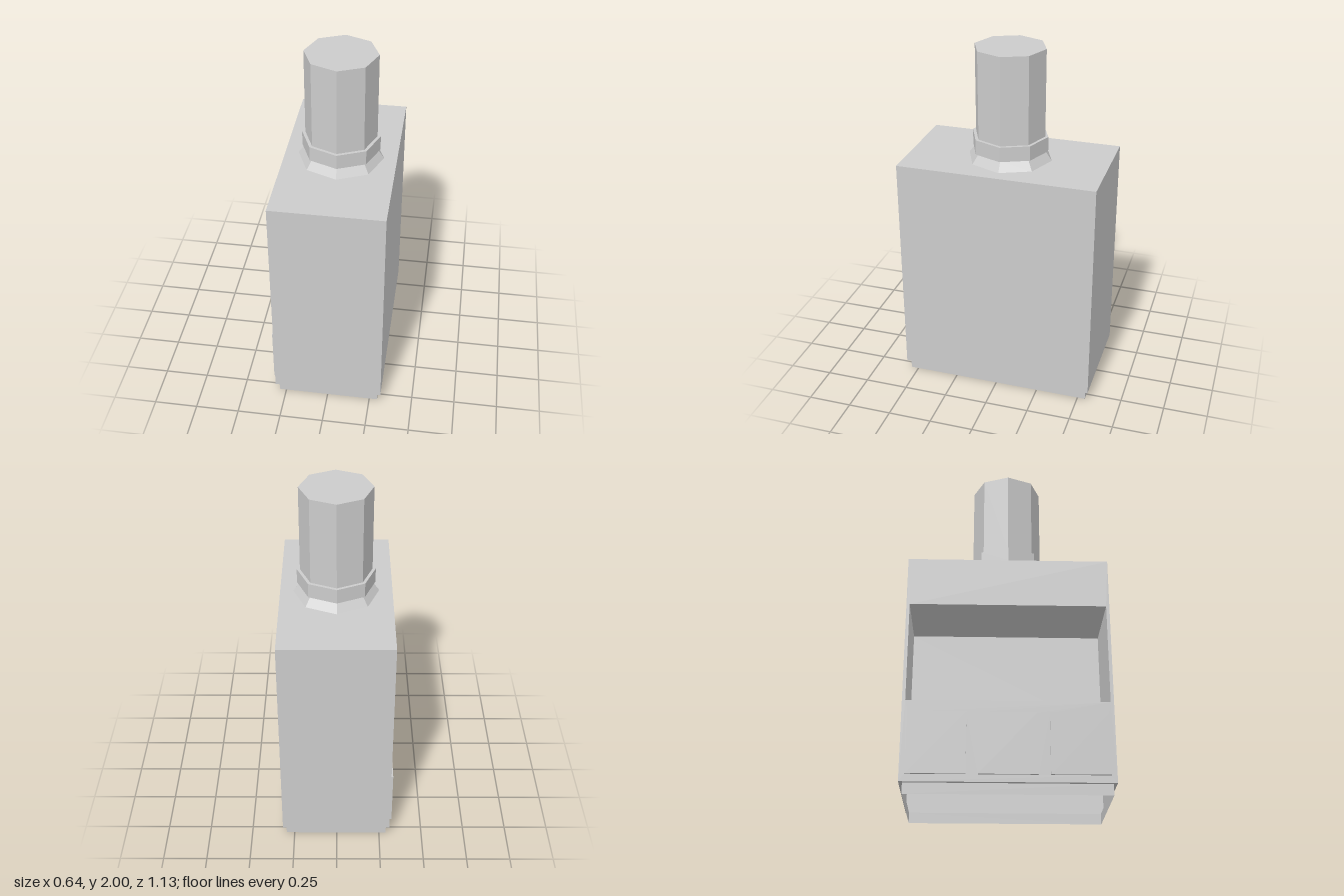
import * as THREE from 'three';

const material = new THREE.MeshStandardMaterial({ color: 0xcccccc, flatShading: true, side: THREE.DoubleSide });
const SIDES = ['+x', '-x', '+y', '-y', '+z', '-z'];

function mesh(name, geometry) {
  const m = new THREE.Mesh(geometry, material);
  m.name = name;
  return m;
}

// Thin-walled box between two corners, with the listed sides left open
function openBox(name, [x0, y0, z0], [x1, y1, z1], open) {
  const geo = new THREE.BoxGeometry(x1 - x0, y1 - y0, z1 - z0);
  const index = Array.from(geo.index.array);
  geo.setIndex(index.filter((_, i) => !open.includes(SIDES[Math.floor(i / 6)])));
  geo.clearGroups();
  geo.translate((x0 + x1) / 2, (y0 + y1) / 2, (z0 + z1) / 2);
  return mesh(name, geo);
}

// Flat rectangle pierced by rectangular holes, each given as [u0, v0, u1, v1]
function piercedPanel(outer, holes) {
  const corners = ([a, b, c, d]) =>
    [[a, b], [c, b], [c, d], [a, d]].map(([u, v]) => new THREE.Vector2(u, v));
  const shape = new THREE.Shape(corners(outer));
  holes.forEach(h => shape.holes.push(new THREE.Path(corners(h).reverse())));
  return new THREE.ShapeGeometry(shape);
}

export function createModel() {
  const group = new THREE.Group();
  const X0 = -0.31, X1 = 0.317, Y0 = 0.06, Y1 = 1.36, Z = 0.563;
  const niche = [-0.545, 0.505, 0.545, 1.075];
  const doors = [-0.376, 0, 0.376].map(z => [z - 0.156, 0.1, z + 0.156, 0.44]);

  // Cabinet shell, open underneath
  group.add(openBox('cabinet', [X0, Y0, -Z], [X1, Y1, Z], ['-x', '-y']));

  // Side wall with the niche and door openings
  const wall = piercedPanel([-Z, Y0, Z, Y1], [niche, ...doors]);
  wall.rotateY(-Math.PI / 2).translate(X0, 0, 0);
  group.add(mesh('openWall', wall));

  // Recessed niche
  group.add(openBox('niche', [X0, niche[1], niche[0]], [0.11, niche[3], niche[2]], ['-x']));

  // Raised door panels, hollow behind
  doors.forEach(([z0, y0, z1, y1]) =>
    group.add(openBox('door', [-0.322, y0, z0], [X0, y1, z1], ['+x'])));

  // Plinth and the ledge where it steps in
  const px0 = -0.29, px1 = 0.297, pz = 0.544;
  group.add(openBox('plinth', [px0, 0, -pz], [px1, Y0, pz], ['+y', '-y']));
  const ledge = piercedPanel([X0, -Z, X1, Z], [[px0, -pz, px1, pz]]);
  ledge.rotateX(Math.PI / 2).translate(0, Y0, 0);
  group.add(mesh('ledge', ledge));

  // Eight-sided chimney with flared foot and collar
  const profile = [
    [0.24, 1.36], [0.2, 1.415], [0.218, 1.415], [0.218, 1.5], [0.2, 1.5], [0.2, 2], [0, 2],
  ].map(([r, y]) => new THREE.Vector2(r, y));
  const chimney = mesh('chimney', new THREE.LatheGeometry(profile, 8, 0.017).toNonIndexed());
  chimney.geometry.computeVertexNormals();
  chimney.position.x = 0.004;
  group.add(chimney);

  return group;
}
